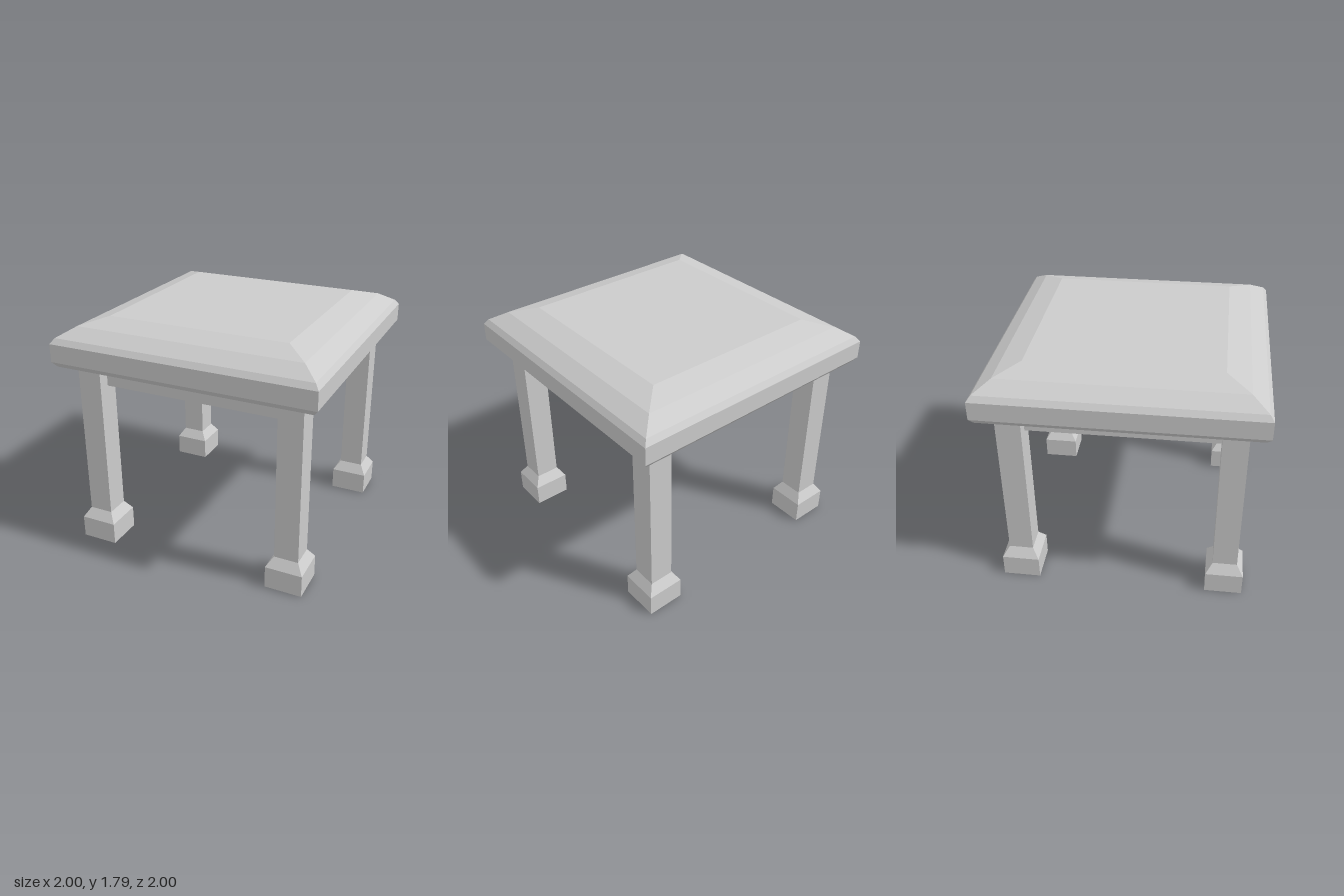
import * as THREE from 'three';

const material = new THREE.MeshStandardMaterial({ color: 0xcccccc, flatShading: true });

// Square solid from [half width, height] pairs, listed bottom to top
function squareLoft(name, profile) {
  const closed = [[0, profile[0][1]], ...profile, [0, profile[profile.length - 1][1]]];
  const points = closed.map(([half, y]) => new THREE.Vector2(half * Math.SQRT2, y));
  const geometry = new THREE.LatheGeometry(points, 4, Math.PI / 4).toNonIndexed();
  geometry.computeVertexNormals();
  const mesh = new THREE.Mesh(geometry, material);
  mesh.name = name;
  return mesh;
}

export function createModel() {
  const model = new THREE.Group();
  model.name = 'stool';

  // Seat slab with a faceted, domed top and a chamfered lower edge
  model.add(squareLoft('seat', [
    [0.97, 1.455], [1, 1.495], [1, 1.63], [0.97, 1.67], [0.855, 1.74], [0.685, 1.79],
  ]));

  // Solid apron, set in to the middle of the legs
  model.add(squareLoft('apron', [[0.78, 1.285], [0.78, 1.46]]));

  // Four legs, each on a flared block foot
  for (const [x, sideName] of [[1, 'Left'], [-1, 'Right']]) {
    for (const [z, endName] of [[1, 'front'], [-1, 'back']]) {
      const leg = new THREE.Group();
      leg.name = endName + sideName + 'Leg';
      leg.add(
        squareLoft('post', [[0.091, 0.24], [0.091, 1.46]]),
        squareLoft('foot', [[0.14, 0], [0.14, 0.17], [0.091, 0.245]]),
      );
      leg.position.set(x * 0.778, 0, z * 0.778);
      model.add(leg);
    }
  }
  return model;
}
